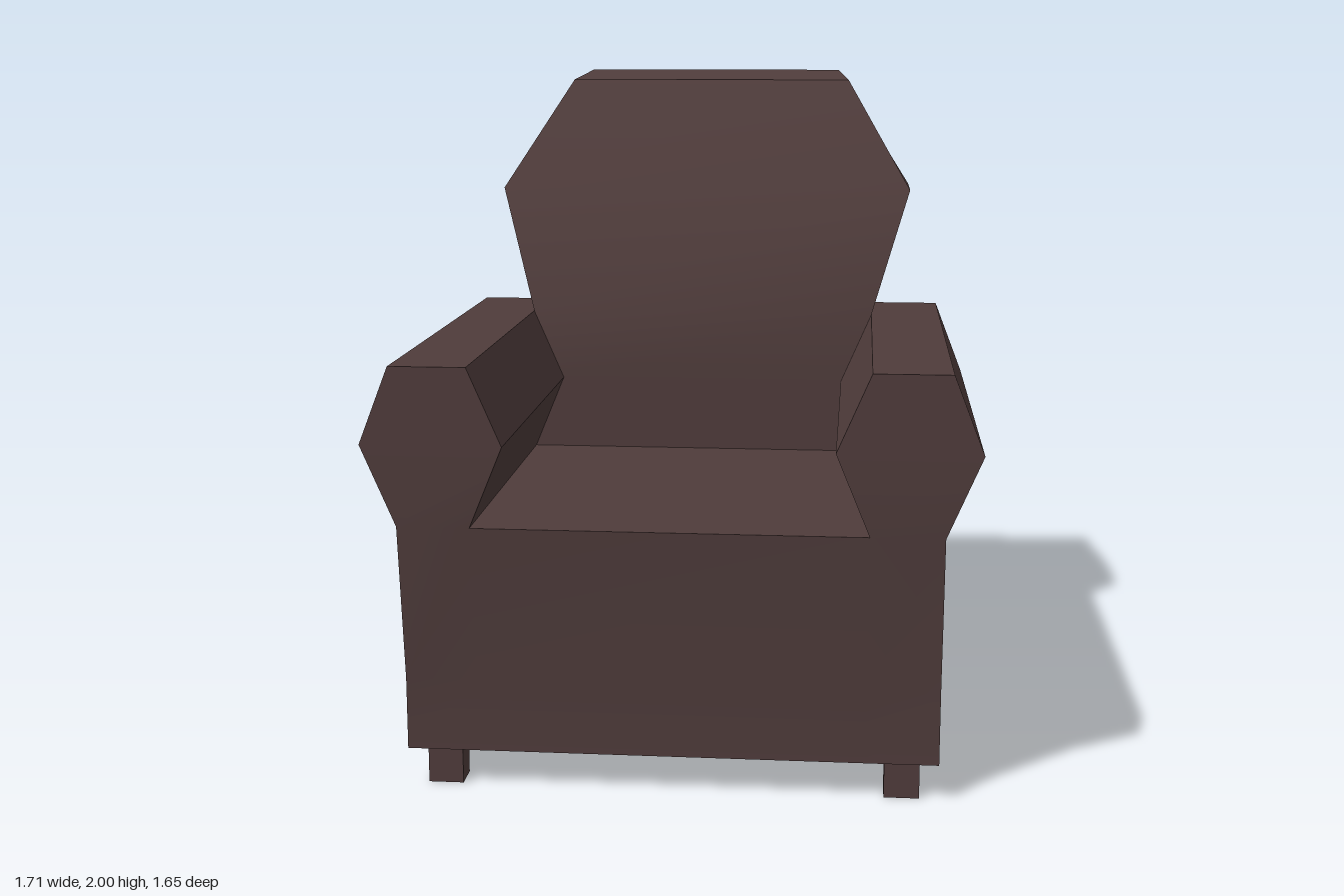
import * as THREE from 'three';
import { mergeGeometries, toCreasedNormals } from 'three/addons/utils/BufferGeometryUtils.js';

// Horizontal loop: front points left to right, then back points right to left
function loop(xs, y, zFront, zBack, yBack = y, xsBack = xs) {
  return [
    ...xs.map(x => [x, y, zFront]),
    ...[...xsBack].reverse().map(x => [x, yBack, zBack]),
  ];
}

// Skin a stack of loops, with optional flat caps
function loft(loops, capBottom, capTop) {
  const pos = [];
  const quad = (a, b, c, d) => pos.push(...a, ...b, ...c, ...a, ...c, ...d);
  const n = loops[0].length;
  for (let r = 0; r < loops.length - 1; r++) {
    const lo = loops[r], up = loops[r + 1];
    for (let i = 0; i < n; i++) {
      const j = (i + 1) % n;
      quad(lo[i], lo[j], up[j], up[i]);
    }
  }
  const top = loops[loops.length - 1], bottom = loops[0];
  for (let i = 0; i < n / 2 - 1; i++) {
    if (capTop) quad(top[i], top[i + 1], top[n - 2 - i], top[n - 1 - i]);
    if (capBottom) quad(bottom[n - 1 - i], bottom[n - 2 - i], bottom[i + 1], bottom[i]);
  }
  const g = new THREE.BufferGeometry();
  g.setAttribute('position', new THREE.Float32BufferAttribute(pos, 3));
  return g;
}

export function createModel() {
  const group = new THREE.Group();
  const leather = new THREE.MeshStandardMaterial({ color: 0x4f3c3b });
  leather.name = 'dark brown leather';

  // Seat base, split across its width where the arms meet the seat
  const baseXs = [-0.755, -0.55, 0.55, 0.755];
  const base = loft([
    loop(baseXs, 0.11, 0.765, -0.39),
    loop(baseXs, 0.32, 0.765, -0.425),
    loop(baseXs, 0.78, 0.825, -0.47),
  ], true, true);

  // Rolled arms with a hexagonal section
  const arm = side => {
    const xs = (inner, outer) => (side > 0 ? [inner, outer] : [-outer, -inner]);
    return loft([
      loop(xs(0.55, 0.755), 0.78, 0.825, -0.47),
      loop(xs(0.455, 0.853), 1.01, 0.825, -0.51),
      loop(xs(0.55, 0.767), 1.23, 0.825, -0.555),
    ], false, true);
  };

  // Reclined backrest, widest at shoulder height
  const span = w => [-w, w];
  const backrest = loft([
    loop(span(0.55), 0.78, -0.255, -0.47),
    loop(span(0.455), 1.01, -0.255, -0.51),
    loop(span(0.55), 1.23, -0.255, -0.555),
    loop(span(0.67), 1.62, -0.405, -0.69),
    loop(span(0.463), 1.97, -0.62, -0.822, 2.0, span(0.425)),
  ], false, true);

  // Smooth the upholstery as one skin, then divide it into named parts
  const parts = { seatBase: base, leftArm: arm(1), rightArm: arm(-1), backrest };
  const skin = toCreasedNormals(mergeGeometries(Object.values(parts)), Math.PI / 6);
  let start = 0;
  for (const [name, geometry] of Object.entries(parts)) {
    const count = geometry.attributes.position.count;
    const normals = skin.attributes.normal.array.slice(start * 3, (start + count) * 3);
    geometry.setAttribute('normal', new THREE.BufferAttribute(normals, 3));
    start += count;
    const mesh = new THREE.Mesh(geometry, leather);
    mesh.name = name;
    group.add(mesh);
  }

  // Four square feet
  const footGeometry = new THREE.BoxGeometry(0.1, 0.11, 0.085);
  for (const x of [-0.652, 0.652]) {
    for (const z of [0.697, -0.322]) {
      const foot = new THREE.Mesh(footGeometry, leather);
      foot.name = (z > 0 ? 'front' : 'back') + (x > 0 ? 'Left' : 'Right') + 'Foot';
      foot.position.set(x, 0.055, z);
      group.add(foot);
    }
  }
  return group;
}
